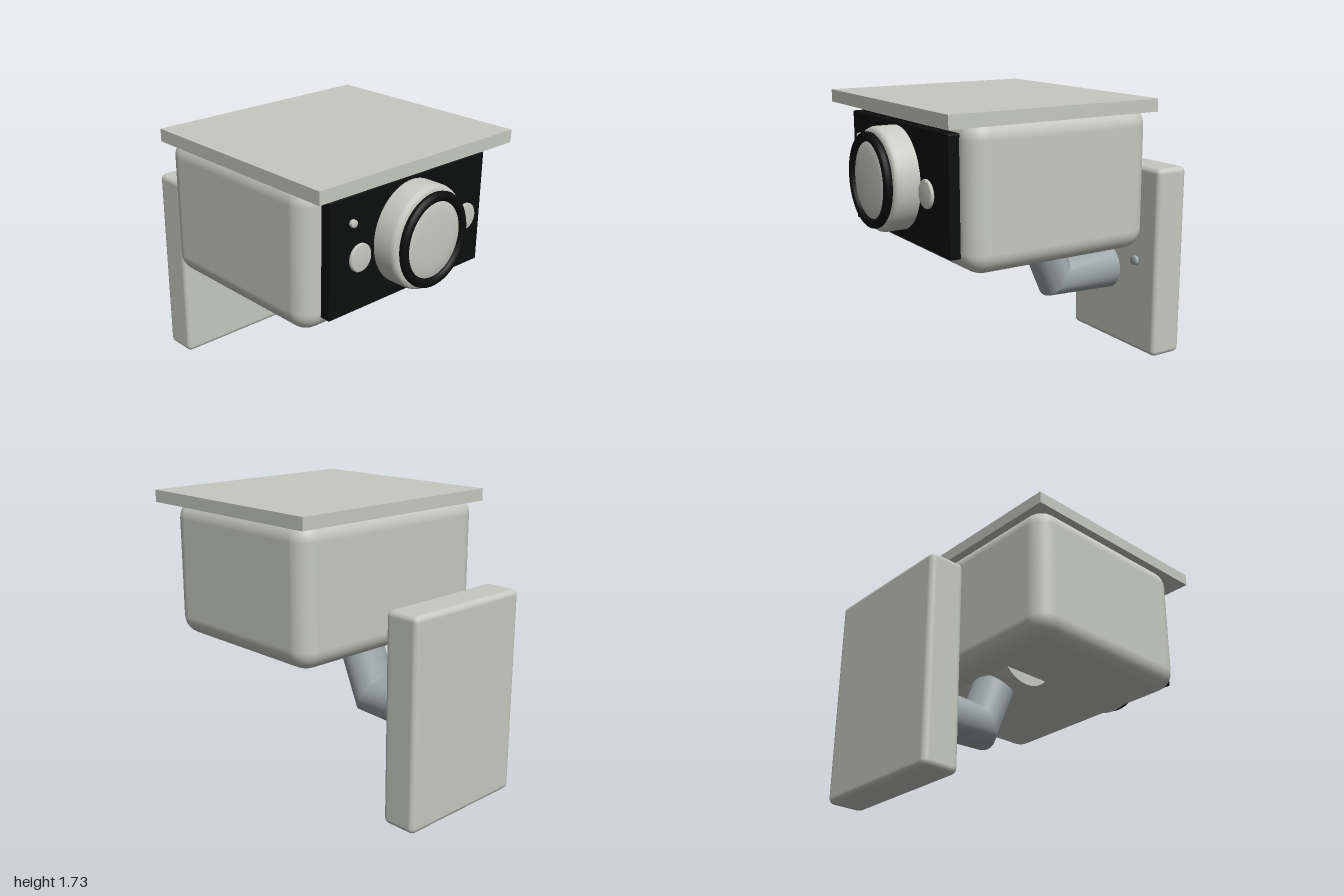
import * as THREE from 'three';
import { toCreasedNormals } from 'three/addons/utils/BufferGeometryUtils.js';
import { RoundedBoxGeometry } from 'three/addons/geometries/RoundedBoxGeometry.js';

const material = (name, color) => {
  const m = new THREE.MeshStandardMaterial({ color });
  m.name = name;
  return m;
};

// Round part facing +z: profile of [radius, z] points, outer back edge first
function turned(profile, segments = 40) {
  const points = profile.map(([r, z]) => new THREE.Vector2(r, z));
  return new THREE.LatheGeometry(points, segments).rotateX(Math.PI / 2);
}

// Bent arm: elliptical rings [centre y, centre z, half-height y, half-height z]
function armGeometry(rings, rx, sides = 28) {
  const pos = [], index = [];
  for (const [cy, cz, vy, vz] of rings) {
    for (let j = 0; j < sides; j++) {
      const t = (j / sides) * Math.PI * 2;
      pos.push(rx * Math.cos(t), cy + vy * Math.sin(t), cz + vz * Math.sin(t));
    }
  }
  for (let i = 0; i < rings.length - 1; i++) {
    for (let j = 0; j < sides; j++) {
      const k = (j + 1) % sides;
      const a = i * sides + j, b = i * sides + k;
      index.push(a, b, a + sides, b, b + sides, a + sides);
    }
  }
  // Back cap
  const centre = pos.length / 3;
  pos.push(0, rings[0][0], rings[0][1]);
  for (let j = 0; j < sides; j++) index.push(centre, (j + 1) % sides, j);
  const g = new THREE.BufferGeometry();
  g.setAttribute('position', new THREE.Float32BufferAttribute(pos, 3));
  g.setIndex(index);
  return toCreasedNormals(g, 0.6);
}

export function createModel() {
  const model = new THREE.Group();
  model.name = 'securityCamera';
  const shell = material('light grey shell', 0xc6c8c1);
  const metal = material('blue grey metal', 0x9ca6a8);
  const black = material('black', 0x0c0d0d);

  const add = (name, geometry, mat, x, y, z) => {
    const mesh = new THREE.Mesh(geometry, mat);
    mesh.name = name;
    mesh.position.set(x, y, z);
    model.add(mesh);
    return mesh;
  };

  // Housing, roof and face panel
  add('housing', new RoundedBoxGeometry(1.44, 0.845, 1.19, 4, 0.12), shell, 0, 1.2775, 0.145);
  add('roof', new THREE.BoxGeometry(1.48, 0.075, 1.35), shell, 0, 1.6975, 0.203);
  add('facePanel', new RoundedBoxGeometry(1.2, 0.67, 0.08, 2, 0.008), black, 0, 1.28, 0.762);

  // Lens, slightly taller than wide
  const barrel = turned([[0.28, 0.79], [0.28, 0.918], [0.276, 0.934], [0.266, 0.946], [0.25, 0.95], [0, 0.95]], 56);
  const glass = turned([[0.21, 0.95], [0.21, 0.972], [0.195, 0.979], [0.14, 0.984], [0.07, 0.987], [0, 0.988]], 56);
  const lensParts = [
    add('lensBarrel', toCreasedNormals(barrel, 0.7), shell, 0, 1.297, 0),
    add('lensRing', new THREE.TorusGeometry(0.23, 0.026, 12, 56), black, 0, 1.297, 0.974),
    add('lensGlass', toCreasedNormals(glass, 0.7), shell, 0, 1.297, 0),
  ];
  for (const part of lensParts) part.scale.y = 1.07;

  // Side lamps and small indicator
  const button = (r, depth) => turned([[0, 0], [r * 0.9, 0], [r, depth * 0.25], [r, depth * 0.7], [r * 0.9, depth], [0, depth * 1.05]], 28);
  for (const side of [-1, 1]) {
    add('lamp', button(0.075, 0.025), shell, side * 0.42, 1.278, 0.83).scale.y = 1.07;
  }
  add('indicator', button(0.022, 0.025), shell, -0.458, 1.475, 0.815);

  // Hinge under the housing
  const hinge = new THREE.CylinderGeometry(0.206, 0.206, 0.48, 40).rotateZ(Math.PI / 2);
  add('hinge', hinge, shell, 0, 0.991, -0.115);

  // Bent arm
  add('arm', armGeometry([
    [0.537, -0.722, 0.148, 0],
    [0.5375, -0.2875, 0.1225, -0.0775],
    [0.95, -0.116, 0, -0.14],
  ], 0.14), metal, 0, 0, 0);

  // Wall plate and its screws
  add('wallPlate', new RoundedBoxGeometry(0.87, 1.245, 0.225, 2, 0.035), shell, 0, 0.6255, -0.8875);
  for (const side of [-1, 1]) {
    add('screw', button(0.032, 0.03), metal, side * 0.264, 0.63, -0.755);
  }
  return model;
}
